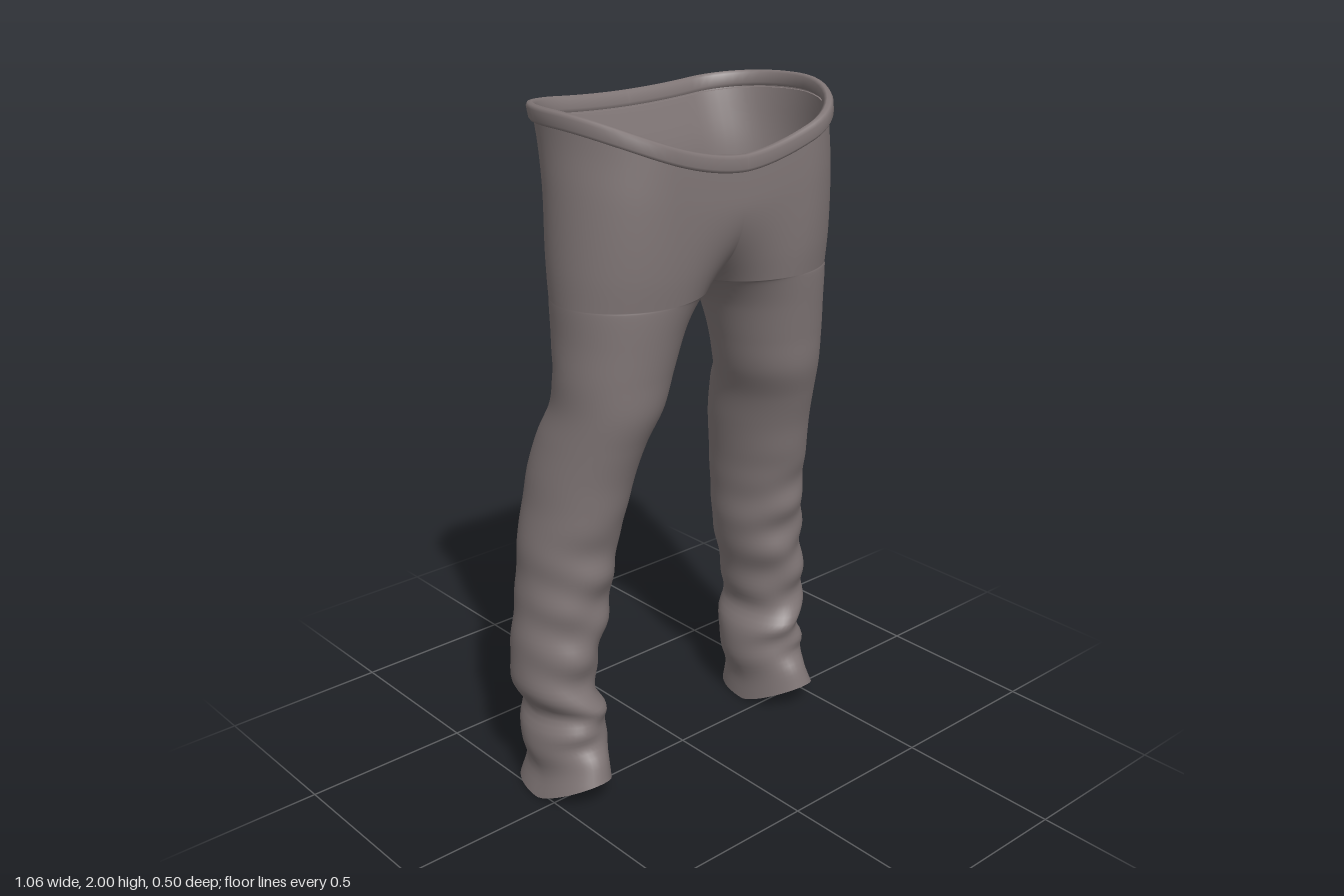
import * as THREE from 'three';
import { mergeVertices } from 'three/addons/utils/BufferGeometryUtils.js';

// Height, inner x, outer x, front z, back z of one leg; above the crotch inner x is 0
const PROFILE = [
  [0.0, 0.31, 0.52, 0.12, -0.23],
  [0.08, 0.31, 0.5, 0.1, -0.21],
  [0.15, 0.29, 0.515, 0.07, -0.215],
  [0.21, 0.285, 0.51, 0.07, -0.225],
  [0.27, 0.295, 0.495, 0.07, -0.23],
  [0.33, 0.32, 0.525, 0.06, -0.235],
  [0.4, 0.305, 0.53, 0.05, -0.235],
  [0.5, 0.285, 0.525, 0.06, -0.235],
  [0.6, 0.26, 0.51, 0.065, -0.235],
  [0.7, 0.245, 0.505, 0.075, -0.232],
  [0.8, 0.235, 0.5, 0.085, -0.228],
  [0.9, 0.22, 0.485, 0.11, -0.22],
  [1.0, 0.203, 0.475, 0.13, -0.208],
  [1.1, 0.185, 0.46, 0.16, -0.18],
  [1.2, 0.15, 0.445, 0.193, -0.138],
  [1.3, 0.12, 0.445, 0.205, -0.13],
  [1.4, 0.085, 0.443, 0.217, -0.14],
  [1.5, 0.0, 0.447, 0.23, -0.155],
  [1.6, 0.0, 0.449, 0.24, -0.165],
  [1.8, 0.0, 0.441, 0.247, -0.18],
  [1.92, 0.0, 0.432, 0.246, -0.212],
  [2.0, 0.0, 0.432, 0.243, -0.238],
];
const CROTCH = 1.5, SEGS = 48;
const { clamp, lerp, smoothstep } = THREE.MathUtils;

// Inner x is interpolated squared so the crotch arch comes out round
const spline = new THREE.CubicInterpolant(
  PROFILE.map((r) => r[0]),
  PROFILE.flatMap((r) => [r[1] * r[1], r[2], r[3], r[4]]), 4, new Float32Array(4));

// Point on the +x half: a runs inner -> front -> outer -> back -> inner
function surfacePoint(y, a) {
  const [xi2, xo, zf, zb] = spline.evaluate(y);
  const above = y >= CROTCH - 1e-6;
  const xi = above ? 0 : Math.sqrt(Math.max(0, xi2));
  const cx = lerp((xi + xo) / 2, 0.24, smoothstep(y, 1.4, 1.9));
  const mid = (zf + zb) / 2, half = (zf - zb) / 2;
  const u = clamp((y - CROTCH) / 0.33, 0, 1);
  const gap = above ? Math.sqrt(1 - (1 - u) ** 2) : 0;
  const t = Math.cos(a), front = a <= Math.PI ? 1 : -1;
  let x = t > 0 ? cx - (cx - xi) * t : cx - (xo - cx) * t;
  const depth = t > 0
    ? Math.sqrt(Math.max(0, 1 - (1 - gap * gap) * t * t))
    : Math.abs(Math.sin(a));
  let z = mid + front * half * depth;

  // Cloth folds, strongest on the front of the shin
  const f = Math.max(0, Math.sin(a));
  const shin = smoothstep(y, 0.08, 0.2) * (1 - smoothstep(y, 0.6, 0.95));
  const fold = shin * (0.3 + 0.7 * f) * (0.04 * Math.sin(y * 46 + 2.2 * Math.cos(a))
    + 0.03 * Math.sin(y * 27 - 3 * Math.cos(a) + 1));
  // Slanting crease behind the knee
  const crease = -0.05 * Math.max(0, -Math.sin(a)) ** 2
    * Math.exp(-(((y - 1.23 + 0.09 * t) / 0.035) ** 2));
  x += (x - cx) * (fold + crease);
  z += (z - mid) * (fold + crease);

  // Dip the waist towards the front, lift the hem over the foot
  const w = clamp(x / 0.432, 0, 1);
  const top = front > 0 ? 1.865 + 0.132 * w ** 1.7 : 1.968 + 0.029 * w * w;
  let h = y;
  if (above) h = CROTCH + (y - CROTCH) * (top - CROTCH) / 0.5;
  else if (y < 0.3) h = lerp(0.085 * f ** 1.2, 0.3, y / 0.3);
  return [x, h, z];
}

// Joins rows of points on the +x half and their mirror image into one smooth surface
function mirroredLoft(rows) {
  const pos = [], index = [];
  const cols = rows[0].length;
  for (const side of [1, -1]) {
    const base = pos.length / 3;
    rows.forEach((row) => row.forEach(([x, y, z]) => pos.push(side * x, y, z)));
    for (let i = 0; i < rows.length - 1; i++) {
      for (let j = 0; j < cols - 1; j++) {
        const p = base + i * cols + j, q = p + 1, r = q + cols, s = p + cols;
        if (side > 0) index.push(p, q, r, p, r, s);
        else index.push(p, r, q, p, s, r);
      }
    }
  }
  let geo = new THREE.BufferGeometry();
  geo.setAttribute('position', new THREE.Float32BufferAttribute(pos, 3));
  geo.setIndex(index);
  geo = mergeVertices(geo, 1e-5);
  geo.computeVertexNormals();
  return geo;
}

export function createModel() {
  const group = new THREE.Group();
  group.name = 'trousers';
  const cloth = new THREE.MeshStandardMaterial({ color: 0x807676, side: THREE.DoubleSide });
  cloth.name = 'greyCloth';

  const angles = Array.from({ length: SEGS + 1 }, (_, j) => (j / SEGS) * Math.PI * 2);

  // Legs and seat, with rows packed closer near the crotch
  const heights = [];
  for (let i = 0; i <= 110; i++) heights.push(CROTCH * (1 - (1 - i / 110) ** 1.5));
  for (let i = 1; i <= 30; i++) heights.push(CROTCH + 0.5 * (i / 30) ** 1.7);
  const body = new THREE.Mesh(
    mirroredLoft(heights.map((y) => angles.map((a) => surfacePoint(y, a)))), cloth);
  body.name = 'legsAndSeat';
  group.add(body);

  // Waistband: a rounded strip swept round the waist (outward offset, drop)
  const band = [[-0.004, -0.045], [0.007, -0.042], [0.011, -0.034], [0.011, -0.008],
    [0.006, 0.001], [-0.004, 0.003], [-0.012, -0.004], [-0.012, -0.03], [-0.004, -0.04]];
  const bandRows = band.map(([out, drop]) => angles.map((a) => {
    const [x, , z] = surfacePoint(2 + Math.min(0, drop), a);
    const [, y] = surfacePoint(2, a);
    return [x * (1 + out / 0.44), y + drop, z * (1 + out / 0.24)];
  }));
  const waistband = new THREE.Mesh(mirroredLoft(bandRows), cloth);
  waistband.name = 'waistband';
  group.add(waistband);

  return group;
}
